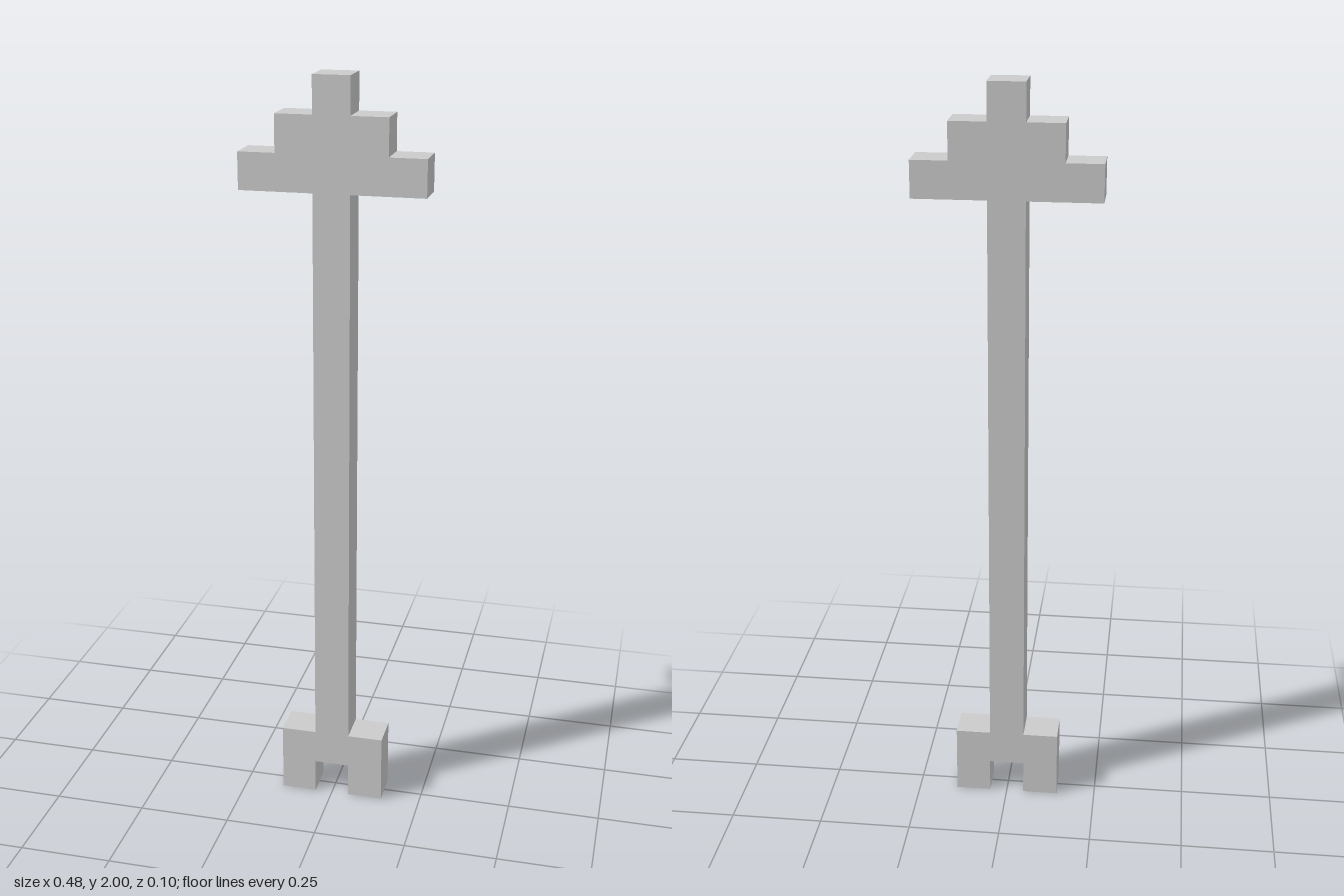
import * as THREE from 'three';

// One block of the stepped arrow; the whole height is 21 blocks
const U = 2 / 21;

export function createModel() {
  const group = new THREE.Group();
  group.name = 'arrow';
  const material = new THREE.MeshStandardMaterial({ color: 0xcccccc, flatShading: true });

  // Extrudes a mirrored outline, given as its right half from bottom to top in blocks
  function addPart(name, half) {
    const left = half.map(([x, y]) => [-x, y]).reverse();
    const outline = [...half, ...left].map(([x, y]) => new THREE.Vector2(x * U, y * U));
    const geometry = new THREE.ExtrudeGeometry(new THREE.Shape(outline), { depth: U, bevelEnabled: false });
    geometry.translate(0, 0, -U / 2);
    const mesh = new THREE.Mesh(geometry, material);
    mesh.name = name;
    group.add(mesh);
  }

  // Forked tail with a one-block notch
  addPart('tail', [[0.5, 1], [0.5, 0], [1.5, 0], [1.5, 2]]);
  // Long square shaft
  addPart('shaft', [[0.5, 2], [0.5, 18]]);
  // Stepped head: five, three and one block wide
  addPart('head', [[2.5, 18], [2.5, 19], [1.5, 19], [1.5, 20], [0.5, 20], [0.5, 21]]);

  return group;
}
